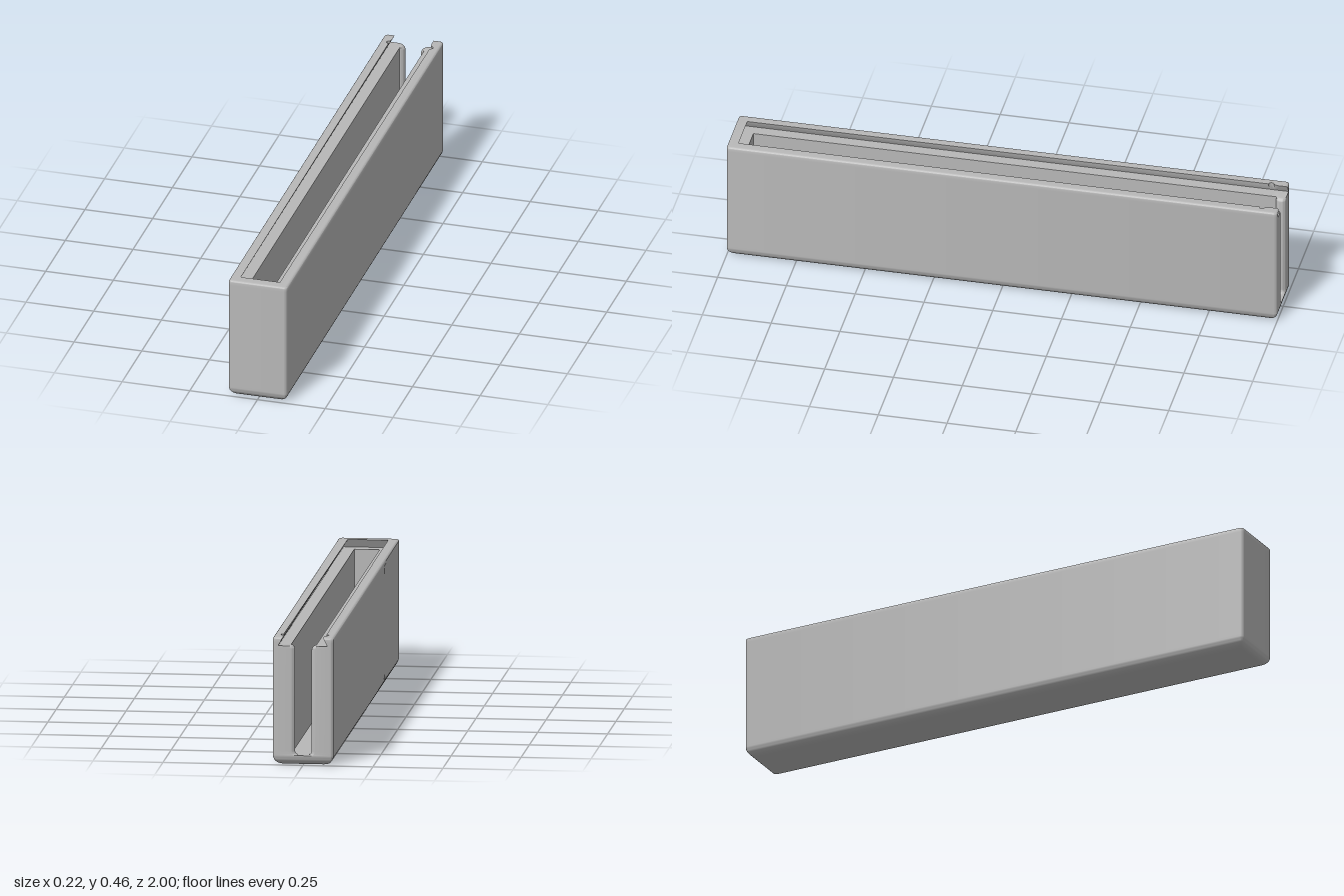
import * as THREE from 'three';
import { toCreasedNormals } from 'three/addons/utils/BufferGeometryUtils.js';

const HALF_W = 0.108, HALF_L = 1, HEIGHT = 0.46;
const FLOOR = 0.035, LEDGE = 0.43;
const CAVITY = 0.045, SLOT = 0.03, ROUND = 0.015, JAMB_Z = -0.965;
const STEPS = 6;

// Points of a quarter arc, from angle a through a + sweep
function arc(cx, cz, r, a, sweep) {
  const pts = [];
  for (let i = 0; i <= STEPS; i++) {
    const t = a + sweep * i / STEPS;
    pts.push([cx + r * Math.cos(t), cz + r * Math.sin(t)]);
  }
  return pts;
}
const mirror = pts => pts.map(([x, z]) => [-x, z]).reverse();

// Rounded outer outline, from the back left corner round the front to the back right
function outerLoop(inset) {
  const r = 0.01, x = HALF_W - inset - r, z = HALF_L - inset - r, q = Math.PI / 2;
  const half = [...arc(x, -z, r, -q, q), ...arc(x, z, r, 0, q)];
  return [...half, ...mirror(half)];
}

// Outer outline joined to the cavity outline through the slot in the back
function wallLoop({ inset = 0, slot, cavity = CAVITY, front = 0.935, round = ROUND, notch = false }) {
  const back = -(HALF_L - inset), q = Math.PI / 2;
  const inner = Math.min(round, cavity - slot);
  const side = [
    ...arc(slot + round, back + round, round, -q, -q),
    ...arc(slot + inner, JAMB_Z - inner, inner, Math.PI, -q),
    [cavity, JAMB_Z]
  ];
  // small vertical catch notch in the lid groove
  for (let i = 0; i <= 8; i++) {
    const a = -q + Math.PI * i / 8;
    const x = notch ? Math.max(cavity, 0.076 + 0.01 * Math.cos(a)) : cavity;
    side.push([x, -0.94 + 0.01 * Math.sin(a)]);
  }
  side.push([cavity, front]);
  return [...outerLoop(inset), ...side.map(([x, z]) => [-x, z]), ...side.reverse()];
}

// Skin a stack of equal loops
function loft(out, layers) {
  for (let k = 0; k + 1 < layers.length; k++) {
    const a = layers[k], b = layers[k + 1], n = a.loop.length;
    for (let i = 0; i < n; i++) {
      const j = (i + 1) % n;
      const p = (l, m) => [l.loop[m][0], l.y, l.loop[m][1]];
      out.push(...p(a, i), ...p(b, j), ...p(a, j), ...p(a, i), ...p(b, i), ...p(b, j));
    }
  }
}

// Flat face filling a loop, facing up or down
function cap(out, { loop, y }, up) {
  const pts = loop.map(([x, z]) => new THREE.Vector2(x, z));
  for (const [a, b, c] of THREE.ShapeUtils.triangulateShape(pts.slice(), [])) {
    const area = THREE.ShapeUtils.area([pts[a], pts[b], pts[c]]);
    const order = (area < 0) === up ? [a, b, c] : [a, c, b];
    for (const i of order) out.push(pts[i].x, y, pts[i].y);
  }
}

function toMesh(positions, material, name) {
  const g = new THREE.BufferGeometry();
  g.setAttribute('position', new THREE.Float32BufferAttribute(positions, 3));
  const mesh = new THREE.Mesh(toCreasedNormals(g, 0.6), material);
  mesh.name = name;
  return mesh;
}

export function createModel() {
  const group = new THREE.Group();
  group.name = 'slidingLidBox';
  const grey = new THREE.MeshStandardMaterial({ color: 0xb8b8b8 });
  grey.name = 'grey';

  // Base with a generous bottom fillet, then the walls above it
  const base = [];
  for (let i = 0; i <= 8; i++) {
    const a = Math.PI / 2 * i / 8;
    base.push({ y: FLOOR * (1 - Math.cos(a)), loop: outerLoop(FLOOR * (1 - Math.sin(a))) });
  }

  const walls = [];
  const add = (y, options) => walls.push({ y, loop: wallLoop(options) });
  // slot with rounded lower corners and flared upper corners
  for (let i = 0; i <= STEPS; i++) {
    const a = Math.PI / 2 * i / STEPS;
    add(FLOOR + ROUND * (1 - Math.cos(a)), { slot: SLOT - ROUND * (1 - Math.sin(a)) });
  }
  for (let i = 0; i <= STEPS; i++) {
    const a = Math.PI / 2 * i / STEPS;
    add(LEDGE - ROUND * (1 - Math.sin(a)), { slot: SLOT + ROUND * (1 - Math.cos(a)) });
  }
  // ledge and undercut lid groove, open at the back
  const groove = (y, inset) => {
    const t = (y - LEDGE) / (HEIGHT - LEDGE), half = 0.088 - 0.016 * t;
    add(y, { inset, slot: half, cavity: half, front: 0.98 - 0.017 * t, round: 0, notch: true });
  };
  groove(LEDGE, 0);
  groove(LEDGE + 0.012, 0);
  for (let i = 0; i <= 4; i++) {
    const a = Math.PI / 2 * i / 4, r = 0.007;
    groove(HEIGHT - r + r * Math.sin(a), r * (1 - Math.cos(a)));
  }

  const shell = [];
  loft(shell, base);
  cap(shell, base[0], false);
  loft(shell, walls);
  cap(shell, walls[walls.length - 1], true);
  group.add(toMesh(shell, grey, 'boxShell'));

  // Cavity floor, running out through the back slot
  const floor = new THREE.Mesh(new THREE.PlaneGeometry(0.13, 1.95), grey);
  floor.rotation.x = -Math.PI / 2;
  floor.position.set(0, FLOOR, -0.025);
  floor.name = 'cavityFloor';
  group.add(floor);

  return group;
}
